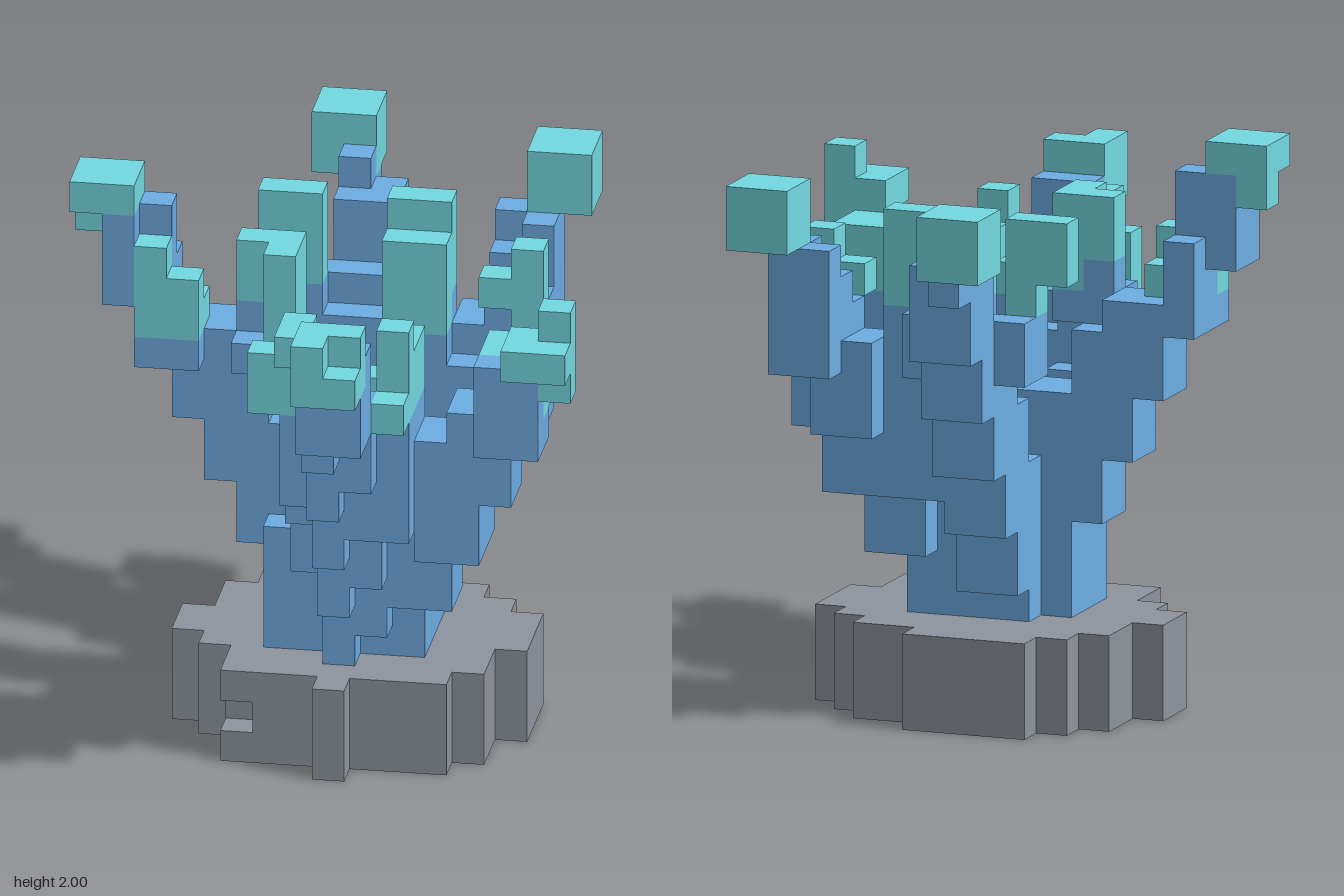
import * as THREE from 'three';

const U = 1 / 9; // edge of one block

function flatColour(name, color) {
  const material = new THREE.MeshStandardMaterial({ color });
  material.name = name;
  return material;
}
const stone = flatColour('stone', 0x8f959f);
const blue = flatColour('branchBlue', 0x6eaee5);
const teal = flatColour('tipTeal', 0x74dae3);

// Block grid: each filled cell remembers its part; later parts replace earlier ones
class BlockGrid {
  cells = new Map();

  key(x, y, z) {
    return `${x},${y},${z}`;
  }

  // Column of blocks from bottom to top, w wide and d deep
  column(part, x, z, bottom, top, w = 1, d = 1) {
    for (let i = x; i < x + w; i++)
      for (let j = bottom; j < top; j++)
        for (let k = z; k < z + d; k++) this.cells.set(this.key(i, j, k), { p: [i, j, k], part });
  }

  // One mesh of the part's exposed faces
  mesh(part) {
    const pos = [];
    for (const cell of this.cells.values()) {
      if (cell.part !== part) continue;
      for (let axis = 0; axis < 3; axis++)
        for (const side of [-1, 1]) {
          const next = [...cell.p];
          next[axis] += side;
          if (!this.cells.has(this.key(...next))) addFace(pos, cell.p, axis, side);
        }
    }
    const geometry = new THREE.BufferGeometry();
    geometry.setAttribute('position', new THREE.Float32BufferAttribute(pos, 3));
    geometry.computeVertexNormals();
    const mesh = new THREE.Mesh(geometry, part.material);
    mesh.name = part.name;
    return mesh;
  }
}

// Outward square face on one side of the block at p
function addFace(pos, p, axis, side) {
  const ring = [[0, 0], [1, 0], [1, 1], [0, 1]].map(([s, t]) => {
    const c = [...p];
    if (side > 0) c[axis] += 1;
    c[(axis + 1) % 3] += s;
    c[(axis + 2) % 3] += t;
    return c.map((v) => v * U);
  });
  if (side < 0) ring.reverse();
  for (const i of [0, 1, 2, 0, 2, 3]) pos.push(...ring[i]);
}

export function createModel() {
  const group = new THREE.Group();
  group.name = 'blockCoral';
  const grid = new BlockGrid();
  const parts = [];

  const addPart = (name, material) => {
    const part = { name, material };
    parts.push(part);
    return (...box) => grid.column(part, ...box);
  };

  // Arm, two blocks wide and deep, that climbs two blocks per step and thins
  // near its end; its left half starts each step lag blocks higher
  const addArm = (name, x, y, z, dx, dz, cap, lag, details) => {
    const stem = addPart(name, blue);
    const tip = addPart(name + 'Tips', teal);
    for (let k = 0; k < 5; k++) {
      const bottom = y + 2 * k;
      const top = Math.min(bottom + (k < 3 ? 4 : 3), cap);
      const sx = x + Math.round(dx * k), sz = z + Math.round(dz * k);
      stem(sx, sz, bottom, top, 1, 2);
      stem(sx + 1, sz, bottom + lag, top, 1, 2);
    }
    // Twig with a blue stem up to bud and a teal tip above it
    const twig = (tx, tz, bottom, bud, top, w, d) => {
      stem(tx, tz, bottom, bud, w, d);
      tip(tx, tz, bud, top, w, d);
    };
    details(stem, tip, twig);
  };

  // Rounded stone slab, one row of blocks per z, with a small notch in front
  const slab = addPart('base', stone);
  const starts = [-2, -3, -4, -4, -5, -5, -4, -3, -3, 0];
  const ends = [2, 4, 5, 6, 6, 6, 5, 5, 4, 1];
  starts.forEach((x, i) => slab(x, i - 5, 0, 3, ends[i] - x));
  grid.cells.delete(grid.key(-3, 1, 3));

  // Trunk
  const trunk = addPart('trunk', blue);
  trunk(-1, -2, 3, 8, 4, 4);
  trunk(-2, -1, 3, 7, 5, 3);
  trunk(-1, -1, 8, 10, 2, 2);

  addArm('backArm', -1, 4, -3, 0, -1, 15, 0, (stem, tip, twig) => {
    stem(-1, -8, 14, 15, 1, 2);
    stem(-1, -7, 15, 16);
    tip(-2, -9, 15, 17, 2, 2);
    stem(-2, -5, 11, 13, 4);
    twig(-2, -4, 11, 13, 16);
    tip(-3, -4, 14, 16);
    twig(1, -4, 7, 13, 16, 2);
    twig(1, -3, 7, 12, 15, 2);
  });

  addArm('backLeftArm', 1, 3, -2, 0.75, -1, 15, 0, (stem, tip) => {
    stem(3, -2, 6, 9);
    stem(4, -6, 14, 15, 2);
    stem(5, -5, 14, 15);
    tip(5, -7, 15, 17, 2, 2);
    stem(4, -4, 9, 13, 2);
    tip(5, -3, 12, 15);
    tip(4, -3, 13, 14);
  });

  addArm('frontLeftArm', 1, 3, 0, 1, 0.75, 14, 0, (stem, tip) => {
    stem(3, 0, 6, 9);
    stem(3, 1, 6, 10);
    stem(4, 1, 7, 10);
    tip(5, 2, 12, 14, 2, 2);
    tip(6, 4, 14, 15, 2, 2);
    tip(7, 4, 13, 16);
  });

  addArm('frontArm', 0, 3, 1, 0, 1, 13, 1, (stem, tip, twig) => {
    stem(0, 6, 12, 15, 2);
    twig(0, 7, 12, 14, 16, 2);
    tip(0, 8, 14, 15, 2);
    tip(0, 8, 15, 16);
    // Twig on its right
    stem(-1, 2, 6, 10);
    stem(-1, 3, 8, 12);
    stem(-1, 4, 9, 12);
    tip(-2, 4, 12, 14, 2);
    tip(-1, 4, 14, 15, 1, 2);
    // Twig on its left
    twig(2, 2, 8, 12, 14, 1, 3);
    twig(1, 3, 9, 12, 13);
    tip(2, 4, 14, 15);
    tip(2, 5, 12, 13);
  });

  addArm('rightArm', -2, 4, -1, -1, 0, 13, 0, (stem, tip, twig) => {
    stem(-6, -1, 12, 15);
    stem(-6, 0, 12, 17);
    stem(-7, 0, 14, 17, 1, 2);
    tip(-8, 0, 17, 18, 2, 2);
    tip(-8, 0, 16, 17);
    twig(-6, 1, 12, 13, 16);
    twig(-5, 0, 12, 13, 14);
    twig(-5, 1, 12, 13, 15);
    // Inner twigs
    twig(-3, 0, 10, 14, 16);
    stem(-3, 1, 12, 13);
    twig(-2, 0, 12, 13, 16, 1, 2);
  });

  for (const part of parts) group.add(grid.mesh(part));
  return group;
}
